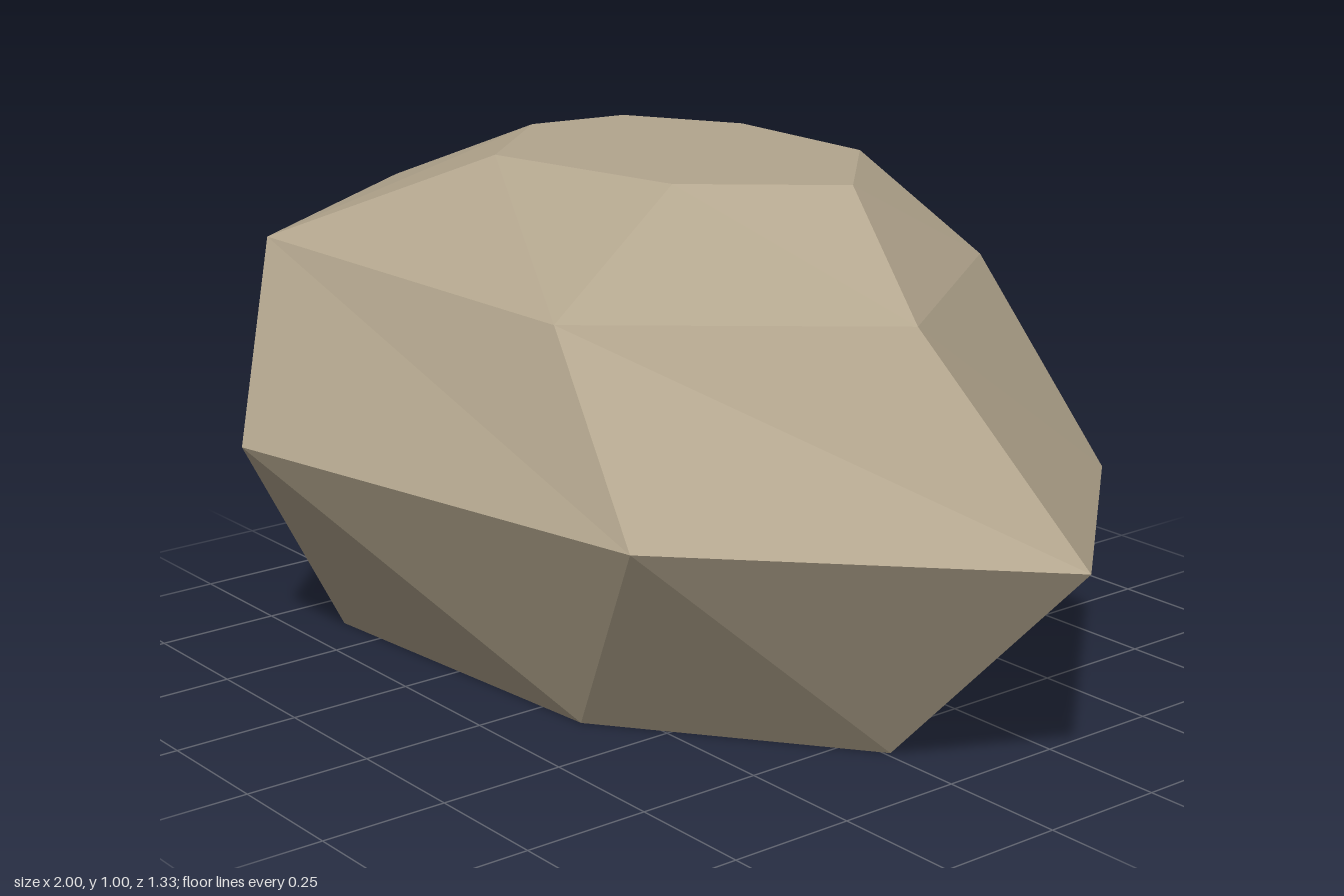
import * as THREE from 'three';

// Four rings of seven corners, [x, y, z], running from +x towards +z
const RINGS = [
  // base
  [[0.58, 0, -0.01], [0.11, 0, 0.345], [-0.62, 0, 0.405], [-0.84, 0, -0.04], [-0.68, 0, -0.36], [-0.27, 0, -0.515], [0.3, 0, -0.435]],
  // widest girth
  [[1, 0.45, -0.07], [0.445, 0.455, 0.485], [-0.55, 0.445, 0.665], [-0.985, 0.42, 0.08], [-0.855, 0.395, -0.395], [-0.305, 0.395, -0.665], [0.505, 0.41, -0.625]],
  // shoulder
  [[0.61, 0.81, -0.025], [0.11, 0.78, 0.395], [-0.71, 0.81, 0.495], [-1, 0.825, 0], [-0.845, 0.79, -0.38], [-0.37, 0.77, -0.57], [0.28, 0.81, -0.5]],
  // flat crown
  [[0.32, 1, -0.13], [0.105, 1, 0.12], [-0.32, 1, 0.215], [-0.53, 1, -0.025], [-0.495, 1, -0.23], [-0.27, 1, -0.36], [0.085, 1, -0.36]],
];

function rockGeometry(rings) {
  const n = rings[0].length;
  const positions = [];
  const tri = (a, b, c) => positions.push(...a, ...b, ...c);

  // facets between neighbouring rings
  for (let r = 0; r < rings.length - 1; r++) {
    const low = rings[r], high = rings[r + 1];
    for (let i = 0; i < n; i++) {
      const j = (i + 1) % n;
      tri(low[i], high[i], high[j]);
      tri(low[i], high[j], low[j]);
    }
  }

  // flat underside and crown
  const base = rings[0], crown = rings[rings.length - 1];
  for (let i = 1; i < n - 1; i++) {
    tri(base[0], base[i], base[i + 1]);
    tri(crown[0], crown[i + 1], crown[i]);
  }

  const geometry = new THREE.BufferGeometry();
  geometry.setAttribute('position', new THREE.Float32BufferAttribute(positions, 3));
  geometry.computeVertexNormals();
  return geometry;
}

export function createModel() {
  const stone = new THREE.MeshStandardMaterial({ color: 0xb3a68e, flatShading: true });
  stone.name = 'stone';

  const rock = new THREE.Mesh(rockGeometry(RINGS), stone);
  rock.name = 'rock';

  const model = new THREE.Group();
  model.name = 'facetedRock';
  model.add(rock);
  return model;
}
